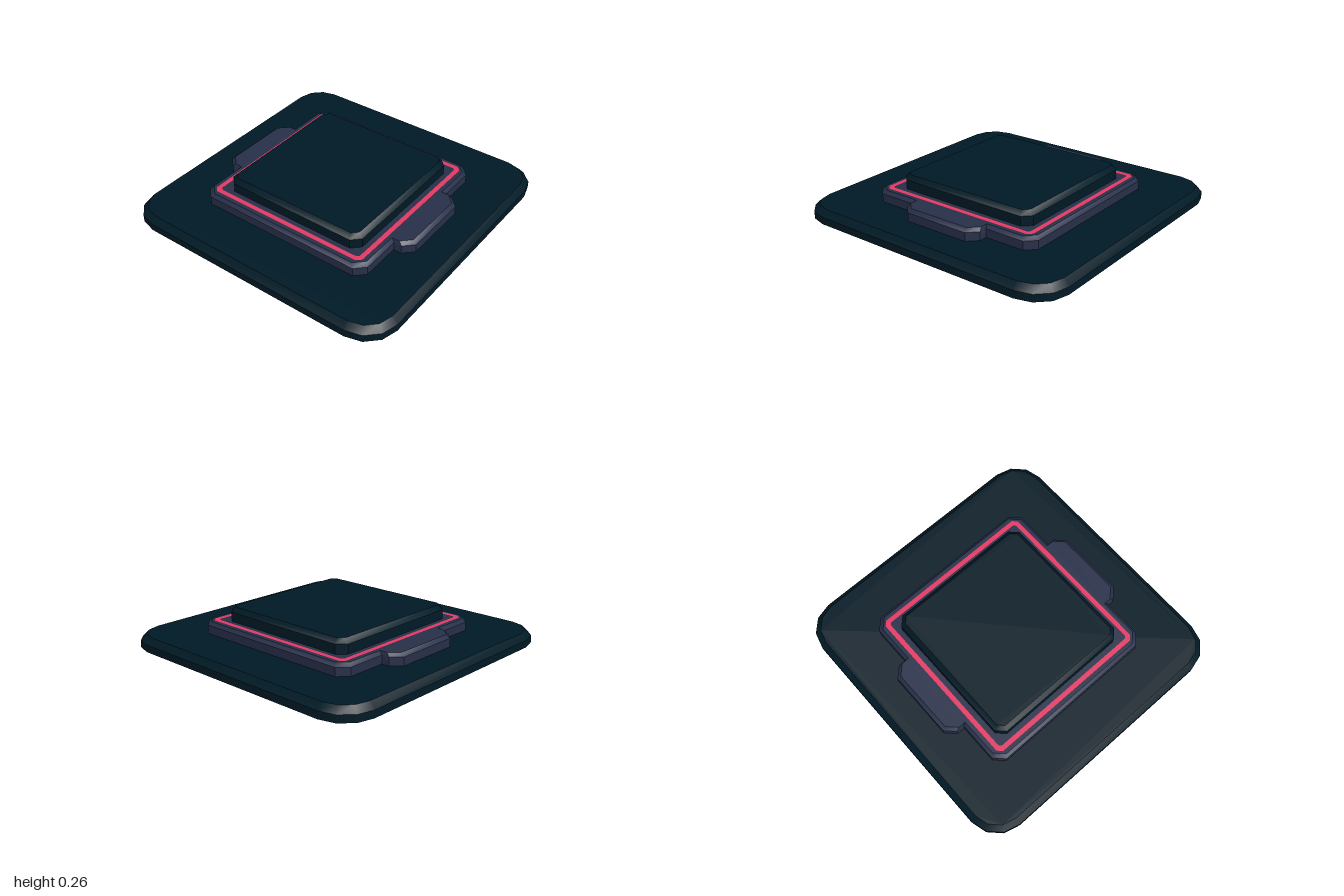
import * as THREE from 'three';
import { toCreasedNormals } from 'three/addons/utils/BufferGeometryUtils.js';

const V = (x, y) => new THREE.Vector2(x, y);

// Mirror one quadrant of an outline into a full counter-clockwise loop
function mirrorQuadrant(quadrant) {
  const reversed = [...quadrant].reverse();
  return [
    ...quadrant.map(([x, y]) => V(x, y)),
    ...reversed.map(([x, y]) => V(-x, y)),
    ...quadrant.map(([x, y]) => V(-x, -y)),
    ...reversed.map(([x, y]) => V(x, -y)),
  ];
}

// Square with rounded corners (one segment gives a plain cut corner)
function cutSquare(half, radius, segments = 1) {
  const quadrant = [];
  for (let i = 0; i <= segments; i++) {
    const a = (i / segments) * Math.PI / 2;
    quadrant.push([half - radius + radius * Math.cos(a), half - radius + radius * Math.sin(a)]);
  }
  return mirrorQuadrant(quadrant);
}

// Move every edge of an outline inwards by the same distance
function inset(points, distance) {
  const n = points.length;
  const normal = (a, b) => V(a.y - b.y, b.x - a.x).normalize();
  return points.map((p, i) => {
    const n1 = normal(points[(i + n - 1) % n], p);
    const n2 = normal(p, points[(i + 1) % n]);
    return p.clone().addScaledVector(n1.clone().add(n2), distance / (1 + n1.dot(n2)));
  });
}

// Open-bottomed slab: upright wall, sloping edge, then a flat top
function slab(outline, topOutline, bottom, shoulder, top) {
  const n = outline.length;
  const rings = [[outline, bottom], [outline, shoulder], [topOutline, top]];
  const positions = [];
  const index = [];
  for (const [ring, y] of rings) for (const p of ring) positions.push(p.x, y, -p.y);
  for (let r = 0; r < 2; r++) {
    for (let i = 0; i < n; i++) {
      const a = r * n + i;
      const b = r * n + (i + 1) % n;
      index.push(a, b, b + n, a, b + n, a + n);
    }
  }
  for (const [a, b, c] of THREE.ShapeUtils.triangulateShape(topOutline, [])) {
    index.push(a + 2 * n, b + 2 * n, c + 2 * n);
  }
  const geometry = new THREE.BufferGeometry();
  geometry.setAttribute('position', new THREE.Float32BufferAttribute(positions, 3));
  geometry.setIndex(index);
  return toCreasedNormals(geometry, 0.65);
}

export function createModel() {
  const group = new THREE.Group();
  // The base is an open shell, so its colour shows from both sides
  const darkTeal = new THREE.MeshStandardMaterial({
    name: 'darkTeal', color: 0x001a26, side: THREE.DoubleSide,
  });
  const slate = new THREE.MeshStandardMaterial({ name: 'slate', color: 0x28304a });
  const pink = new THREE.MeshStandardMaterial({ name: 'pink', color: 0xe63963 });

  const add = (name, geometry, mat) => {
    const mesh = new THREE.Mesh(geometry, mat);
    mesh.name = name;
    group.add(mesh);
    return mesh;
  };

  // Wide rounded base, hollow underneath
  const base = cutSquare(1, 0.22, 3);
  add('basePlate', slab(base, inset(base, 0.04), 0, 0.05, 0.09), darkTeal);

  // Middle plate with a tab on each side
  const middle = mirrorQuadrant([
    [0.765, 0.235], [0.70, 0.30], [0.645, 0.30], [0.645, 0.58], [0.58, 0.645],
  ]);
  const middleTop = middle.map((p) => p.clone().multiplyScalar(0.967));
  add('middlePlate', slab(middle, middleTop, 0.09, 0.148, 0.17), slate);

  // Thin bright frame lying on the middle plate
  const frame = new THREE.Shape(cutSquare(0.596, 0.03));
  frame.holes.push(new THREE.Path(cutSquare(0.564, 0.015).reverse()));
  const trim = add('trimFrame', new THREE.ShapeGeometry(frame), pink);
  trim.rotation.x = -Math.PI / 2;
  trim.position.y = 0.172;

  // Raised square pad
  const pad = cutSquare(0.527, 0.055);
  add('topPad', slab(pad, inset(pad, 0.03), 0.17, 0.235, 0.265), darkTeal);

  return group;
}
